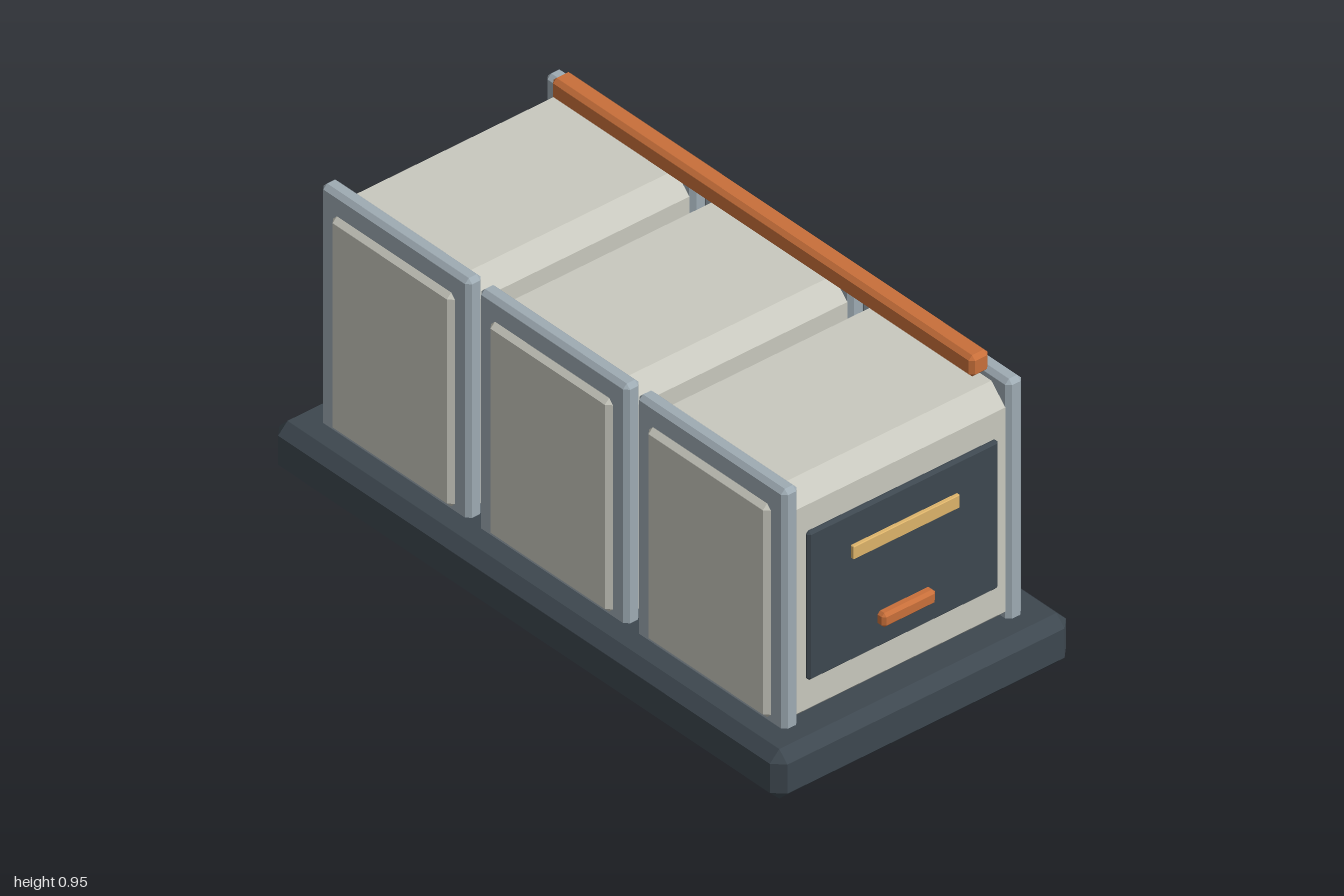
import * as THREE from 'three';
import { ConvexGeometry } from 'three/addons/geometries/ConvexGeometry.js';

const paint = (color) => new THREE.MeshStandardMaterial({ color });

// Box between two corners with every edge cut at 45 degrees by c
function chamferBox(name, material, [x0, x1], [y0, y1], [z0, z1], c) {
  const hx = (x1 - x0) / 2, hy = (y1 - y0) / 2, hz = (z1 - z0) / 2;
  const points = [];
  for (const sx of [-1, 1]) for (const sy of [-1, 1]) for (const sz of [-1, 1]) {
    points.push(
      new THREE.Vector3(sx * hx, sy * (hy - c), sz * (hz - c)),
      new THREE.Vector3(sx * (hx - c), sy * hy, sz * (hz - c)),
      new THREE.Vector3(sx * (hx - c), sy * (hy - c), sz * hz)
    );
  }
  const mesh = new THREE.Mesh(new ConvexGeometry(points), material);
  mesh.position.set((x0 + x1) / 2, (y0 + y1) / 2, (z0 + z1) / 2);
  mesh.name = name;
  return mesh;
}

export function createModel() {
  const dark = paint(0x3d474f), shell = paint(0xc8c8be), steel = paint(0x9eabb3);
  const orange = paint(0xc86f3a), yellow = paint(0xdcb36a);
  const model = new THREE.Group();
  model.name = 'cabinetRow';

  // Plinth
  model.add(chamferBox('base', dark, [-0.5, 0.5], [0, 0.155], [-1, 1], 0.032));

  // Three identical cabinets, front to back
  for (const z of [0.622, 0, -0.622]) {
    const cabinet = new THREE.Group();
    cabinet.name = 'cabinet';
    cabinet.position.z = z;
    cabinet.add(chamferBox('body', shell, [-0.42, 0.42], [0.122, 0.87], [-0.28, 0.28], 0.055));

    // Side frames, with the body showing through
    for (const side of [-1, 1]) {
      const frame = chamferBox('sideFrame', steel, [0.352, 0.405], [0.12, 0.898], [-0.292, 0.292], 0.013);
      frame.position.x *= side;
      cabinet.add(frame);
    }

    // Front panel with label strip and handle
    cabinet.add(chamferBox('frontPanel', dark, [-0.322, 0.322], [0.268, 0.733], [0.262, 0.292], 0.008));
    cabinet.add(chamferBox('labelStrip', yellow, [-0.18, 0.18], [0.592, 0.633], [0.283, 0.303], 0.002));
    cabinet.add(chamferBox('handle', orange, [-0.09, 0.09], [0.34, 0.384], [0.279, 0.317], 0.009));
    model.add(cabinet);
  }

  // Rail resting along the left frames
  model.add(chamferBox('topRail', orange, [0.3, 0.364], [0.886, 0.952], [-0.83, 0.83], 0.012));
  return model;
}
